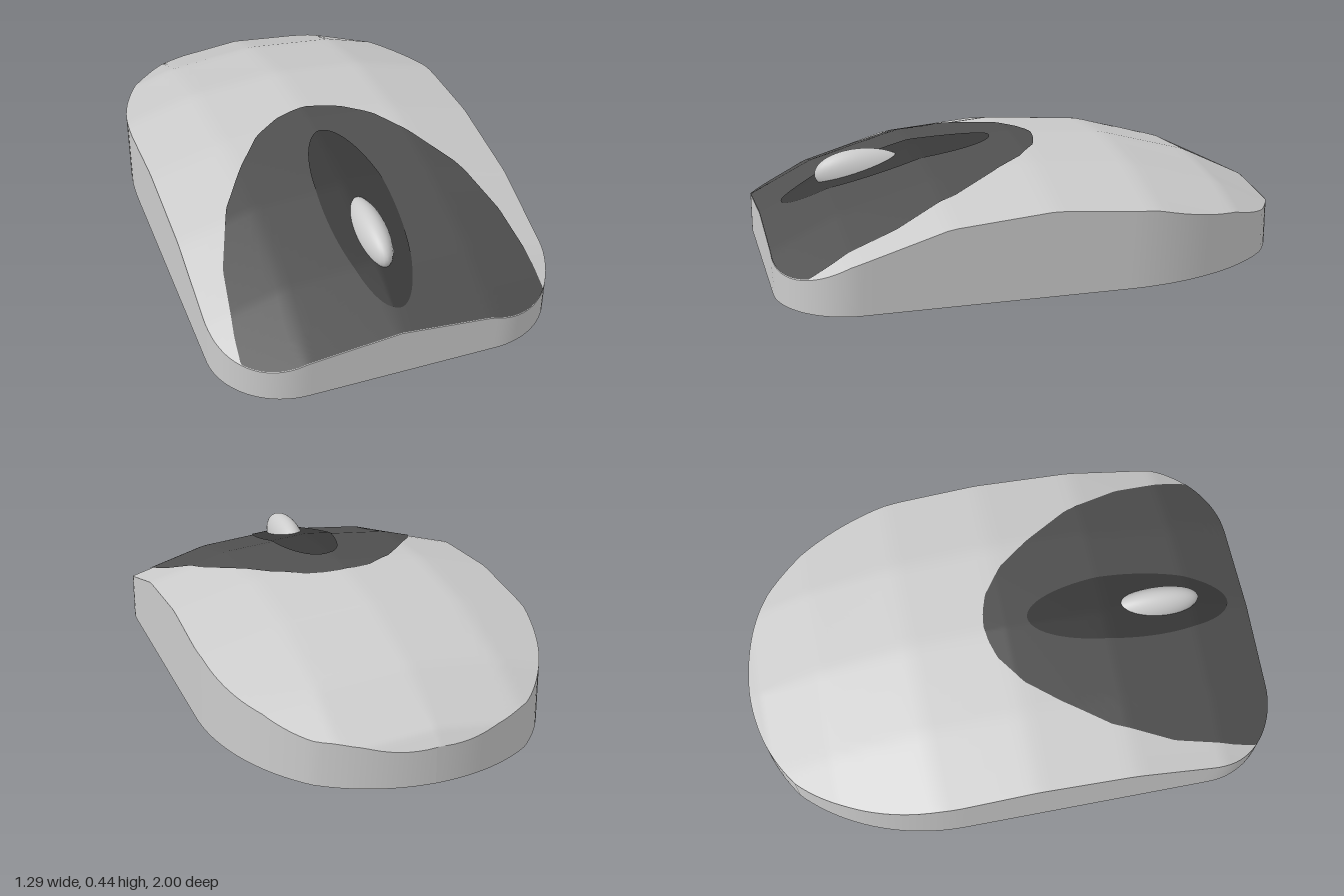
import * as THREE from 'three';

// Piecewise-linear lookup through [position, value] pairs
function lerpTable(t, v) {
  let i = 1;
  while (i < t.length - 1 && v > t[i][0]) i++;
  const [a, fa] = t[i - 1], [b, fb] = t[i];
  return fa + (fb - fa) * (v - a) / (b - a);
}

// Crowned top: drop away from the summit along z and along x
const DROP_Z = [[0, 0], [0.38, 0.03], [0.73, 0.127], [0.98, 0.25], [1.04, 0.31]];
const DROP_X = [[0, 0], [0.345, 0.03], [0.66, 0.115]];
function topHeight(x, z) {
  const dz = lerpTable(DROP_Z, Math.abs(z - 0.025));
  const dx = lerpTable(DROP_X, Math.abs(x + 0.015));
  return 0.435 - dz - dx - 0.8 * dx * dz;
}

// Half width of the plan outline at z
const root = (v) => Math.sqrt(Math.max(0, v));
function halfWidth(z) {
  if (z < -0.87) return root(0.68 ** 2 - (-0.32 - z) ** 2);
  if (z < -0.25) return 0.645 * root(1 - ((z + 0.25) / 0.79) ** 2);
  if (z < 0.72) return 0.645;
  return 0.355 + 0.29 * root(1 - ((z - 0.72) / 0.28) ** 2);
}

// Smooth surface through rows of points
function grid(rows) {
  const n = rows[0].length, index = [];
  for (let i = 0; i < rows.length - 1; i++) {
    for (let j = 0; j < n - 1; j++) {
      const a = i * n + j, b = a + n;
      index.push(a, b, a + 1, b, b + 1, a + 1);
    }
  }
  const g = new THREE.BufferGeometry();
  g.setAttribute('position', new THREE.Float32BufferAttribute(rows.flat(2), 3));
  g.setIndex(index);
  g.computeVertexNormals();
  return g;
}

// Rows lying on the crowned top between a left and a right limit
function drapeRows(z0, z1, left, right, lift = 0, steps = 80, cols = 40) {
  const rows = [];
  for (let i = 0; i <= steps; i++) {
    const z = z0 + (z1 - z0) * (1 - Math.cos(Math.PI * i / steps)) / 2;
    const row = [];
    for (let j = 0; j <= cols; j++) {
      const x = left(z) + (right(z) - left(z)) * j / cols;
      row.push([x, topHeight(x, z) + lift, z]);
    }
    rows.push(row);
  }
  return rows;
}

export function createModel() {
  const model = new THREE.Group();
  const add = (name, geometry, color = 0xcccccc, side = THREE.FrontSide) => {
    const mesh = new THREE.Mesh(geometry, new THREE.MeshStandardMaterial({ color, side }));
    mesh.name = name;
    model.add(mesh);
    return mesh;
  };

  // Top shell
  const rows = drapeRows(-1, 1, (z) => -halfWidth(z), halfWidth);
  add('topShell', grid(rows));

  // Side wall follows the rim of the shell down to the ground
  const rim = [
    ...rows.map((r) => r[r.length - 1]),
    ...rows[rows.length - 1].slice(1, -1).reverse(),
    ...rows.map((r) => r[0]).reverse(),
  ];
  add('sideWall', grid([rim.map(([x, , z]) => [x, 0, z]), rim]));

  // Dark button panel
  const PANEL = [[-0.06, 0], [-0.052, 0.06], [-0.03, 0.13], [0.05, 0.24], [0.18, 0.34],
    [0.35, 0.45], [0.58, 0.535], [0.82, 0.57], [1, 0.58]];
  add('buttonPanel', grid(drapeRows(-0.06, 1,
    (z) => Math.max(-halfWidth(z), 0.005 - lerpTable(PANEL, z)),
    (z) => Math.min(halfWidth(z), 0.005 + lerpTable(PANEL, z)), 0.004)), 0x505050);

  // Darker oval around the wheel
  const oval = (z) => 0.133 * root(1 - ((z - 0.515) / 0.405) ** 2);
  add('wheelSurround', grid(drapeRows(0.11, 0.92,
    (z) => 0.007 - oval(z), (z) => 0.007 + oval(z), 0.008, 48, 16)), 0x383838);

  // Scroll wheel
  const wheel = add('scrollWheel', new THREE.SphereGeometry(1, 32, 24));
  wheel.scale.set(0.06, 0.087, 0.18);
  wheel.position.set(0.01, 0.33, 0.61);

  // Underside with a rectangular window
  const flat = (shape, y) => new THREE.ShapeGeometry(shape).rotateX(Math.PI / 2).translate(0, y, 0);
  const toPath = (pts, Type) => new Type(pts.map(([x, z]) => new THREE.Vector2(x, z)));
  const pocketWall = (pts, y0, y1) => {
    const loop = [...pts, pts[0]];
    return grid([y0, y1].map((y) => loop.map(([x, z]) => [x, y, z])));
  };
  const windowPts = [[-0.14, -0.145], [0.14, -0.145], [0.14, 0.38], [-0.14, 0.38]];
  const base = toPath(rim.slice(0, -1).map(([x, , z]) => [x, z]), THREE.Shape);
  base.holes.push(toPath(windowPts, THREE.Path));
  add('underside', flat(base, 0), 0x444444);

  // Red sensor window, slightly recessed, with a half-oval opening
  const lensPts = [];
  for (let i = 0; i <= 20; i++) {
    const a = Math.PI * i / 20;
    lensPts.push([0.015 + 0.08 * Math.cos(a), 0.03 + 0.2 * Math.sin(a)]);
  }
  const plate = toPath(windowPts, THREE.Shape);
  plate.holes.push(toPath(lensPts, THREE.Path));
  add('sensorWindow', flat(plate, 0.01), 0xff0000);
  add('sensorWindowEdge', pocketWall(windowPts, 0, 0.01), 0xff0000, THREE.DoubleSide);
  add('sensorPocketWall', pocketWall(lensPts, 0.01, 0.05), 0xcccccc, THREE.DoubleSide);
  add('sensorPocketFloor', flat(toPath(lensPts, THREE.Shape), 0.05));

  return model;
}
